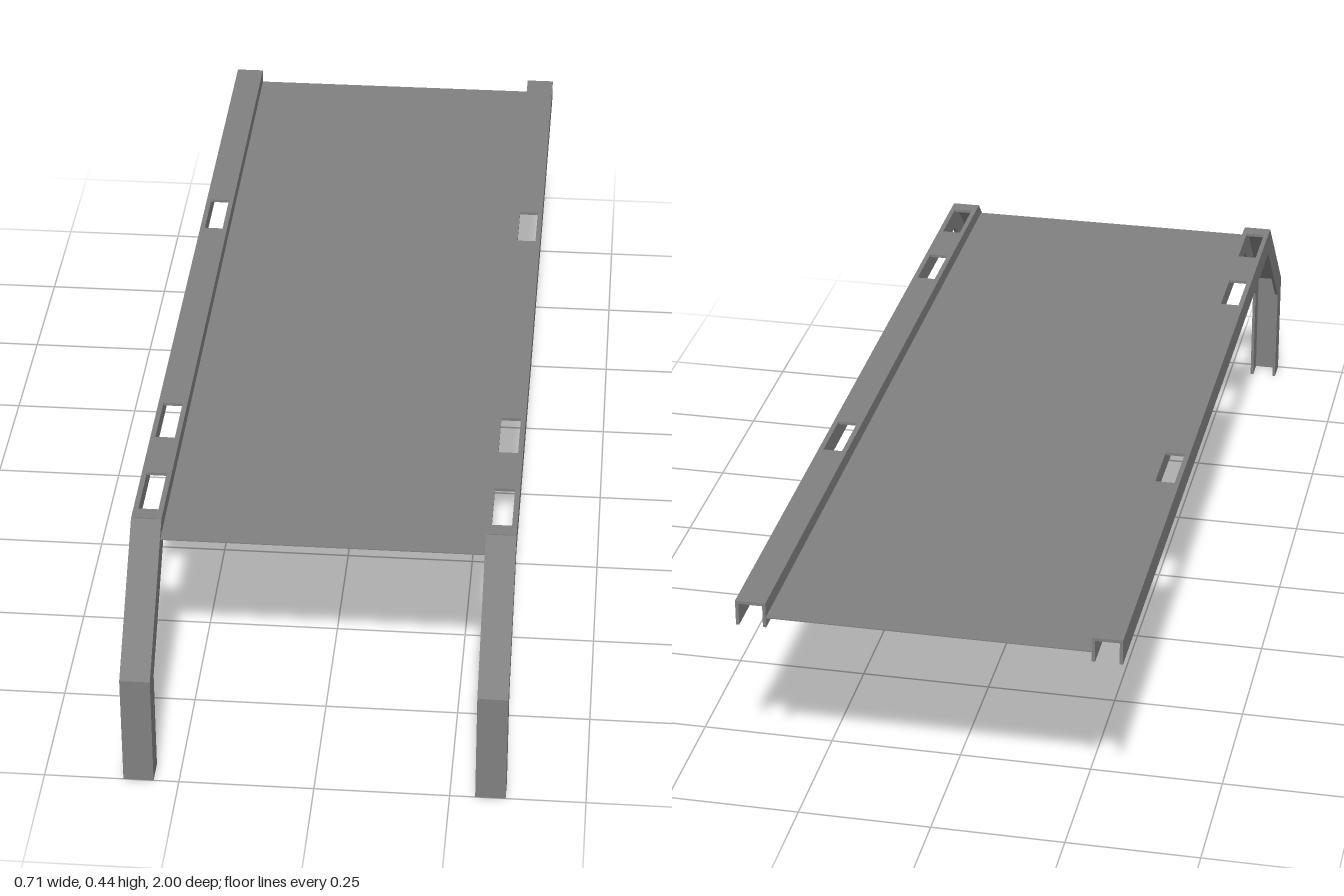
import * as THREE from 'three';

const RAIL_X = 0.325, RAIL_W = 0.056, DEPTH = 0.049, WALL = 0.006, TOP = 0.438;
const KNEE_Z = 0.787, KNEE_Y = 0.225;
const STATIONS = [-0.345, 0.453, 0.695];

// Side outline of the bent rail as (z, y), moved inward by d
const outline = d => [
  [1 - d, 0],
  [1 - d, KNEE_Y - 0.414 * d],
  [KNEE_Z - 0.414 * d, TOP - d],
  [-1, TOP - d],
].map(p => new THREE.Vector2(...p));

// Extrude a (z, y) polygon across x, centred on x = 0
function acrossX(points, width) {
  const geo = new THREE.ExtrudeGeometry(new THREE.Shape(points), { depth: width, bevelEnabled: false });
  return geo.rotateY(-Math.PI / 2).translate(width / 2, 0, 0);
}

export function createModel() {
  const group = new THREE.Group();
  const steel = new THREE.MeshStandardMaterial({ color: 0x808080 });
  const add = (parent, name, geo) => {
    const mesh = new THREE.Mesh(geo, steel);
    mesh.name = name;
    parent.add(mesh);
    return mesh;
  };

  const outer = outline(0);
  const sideGeo = acrossX([...outer, ...outline(DEPTH).reverse()], WALL);

  // Closed outer face of the leg and slope
  const inner = outline(WALL);
  const webW = RAIL_W - 2 * WALL;
  const legGeo = acrossX([...outer.slice(0, 3), ...inner.slice(0, 3).reverse()], webW);

  // Flat top web with slots through it
  const rect = (path, x, z0, z1) => path.moveTo(-x, z0).lineTo(x, z0).lineTo(x, z1).lineTo(-x, z1).closePath();
  const web = rect(new THREE.Shape(), webW / 2, -1, inner[2].x);
  for (const z of STATIONS) web.holes.push(rect(new THREE.Path(), 0.0185, z - 0.06, z + 0.06));
  const webGeo = new THREE.ExtrudeGeometry(web, { depth: WALL, bevelEnabled: false });
  webGeo.rotateX(Math.PI / 2).translate(0, TOP, 0);

  // Two open-bottomed channel rails that bend down into the front legs
  for (const side of [1, -1]) {
    const rail = new THREE.Group();
    rail.name = side > 0 ? 'leftRail' : 'rightRail';
    rail.position.x = side * RAIL_X;
    group.add(rail);
    for (const s of [1, -1]) {
      add(rail, s === side ? 'outerWall' : 'innerWall', sideGeo).position.x = s * (RAIL_W - WALL) / 2;
    }
    add(rail, 'legWeb', legGeo);
    add(rail, 'slottedTop', webGeo);
  }

  // Thin deck between the rails
  const span = 2 * RAIL_X - RAIL_W;
  add(group, 'deck', new THREE.BoxGeometry(span, 0.002, 1.81)).position.set(0, 0.409, -0.095);

  // Cross bars under the deck, in line with the slots
  const barGeo = new THREE.BoxGeometry(span, 0.017, 0.02);
  for (const z of STATIONS) add(group, 'crossBar', barGeo).position.set(0, 0.3995, z);

  return group;
}
